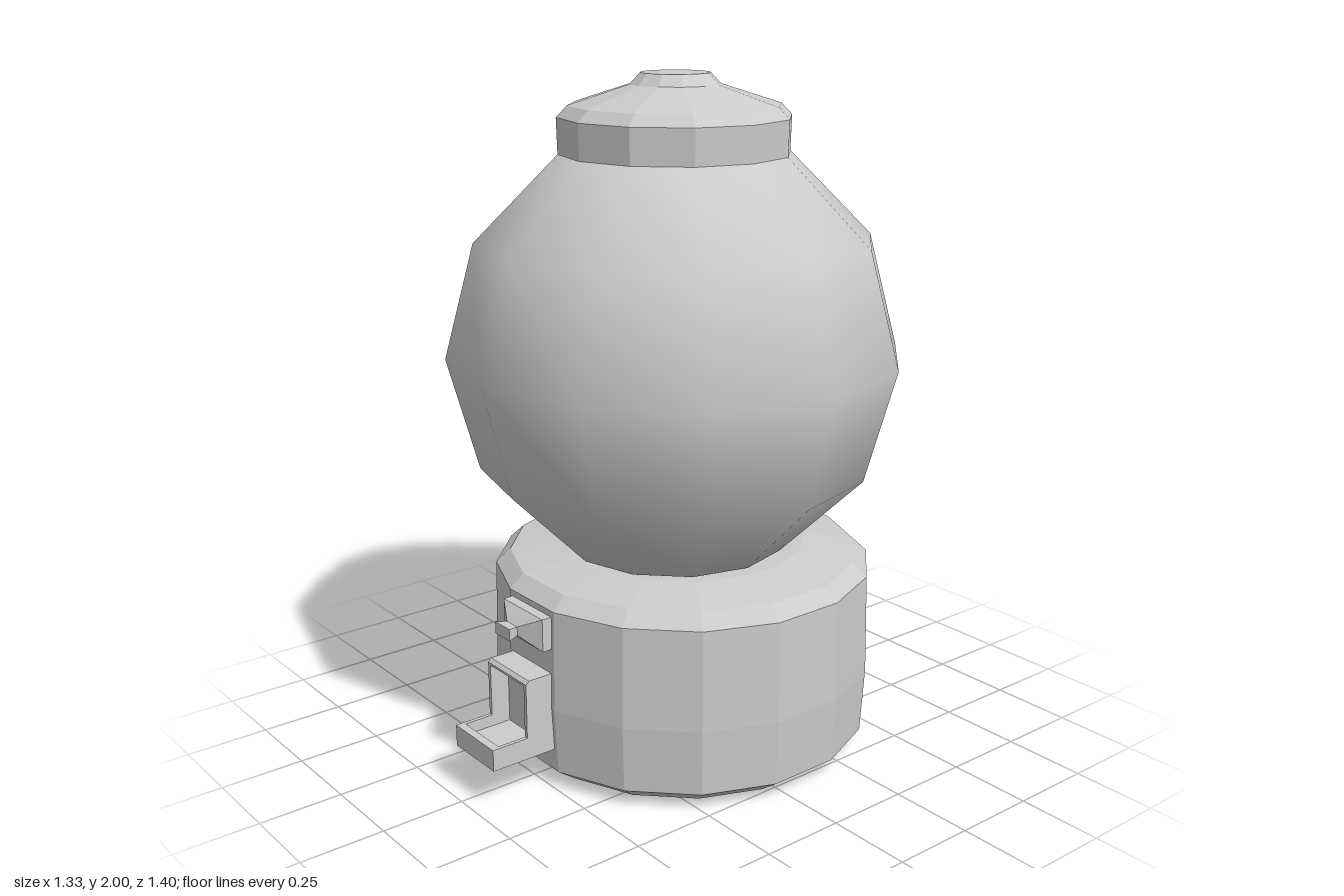
import * as THREE from 'three';

const smooth = new THREE.MeshStandardMaterial({ color: 0xcccccc });
const flat = new THREE.MeshStandardMaterial({ color: 0xcccccc, flatShading: true });

function part(name, geometry, material = flat) {
  const mesh = new THREE.Mesh(geometry, material);
  mesh.name = name;
  return mesh;
}

// Faceted solid of revolution from [radius, height] pairs, bottom to top
function turned(points, sides, start = 0) {
  return new THREE.LatheGeometry(points.map(([r, y]) => new THREE.Vector2(r, y)), sides, start);
}

// Side profile of [z, y] pairs, extruded across x and centred on x
function across(points, width, x = 0) {
  const shape = new THREE.Shape(points.map(([z, y]) => new THREE.Vector2(z, y)));
  return new THREE.ExtrudeGeometry(shape, { depth: width, bevelEnabled: false })
    .rotateY(-Math.PI / 2)
    .translate(x + width / 2, 0, 0);
}

export function createModel() {
  const model = new THREE.Group();
  model.name = 'candyMachine';

  // Drum base with chamfered rims and a slight bulge
  const corner = 1 / Math.cos(Math.PI / 16);
  const baseProfile = [
    [0, 0], [0.485, 0], [0.552, 0.05], [0.563, 0.25],
    [0.557, 0.55], [0.515, 0.59], [0.36, 0.615], [0, 0.615],
  ].map(([r, y]) => [r * corner, y]);
  const base = part('base', turned(baseProfile, 16, Math.PI / 16));
  base.position.z = -0.063;
  model.add(base);

  // Globe
  const globe = part('globe', new THREE.SphereGeometry(0.667, 12, 6), smooth);
  globe.position.set(0, 1.2, -0.03);
  model.add(globe);

  // Lid with a small raised cap
  const lid = part('lid', turned([
    [0, 1.775], [0.333, 1.775], [0.336, 1.88], [0.305, 1.912],
    [0.13, 1.968], [0.1, 2], [0, 2],
  ], 12));
  lid.position.z = -0.03;
  model.add(lid);

  // Coin knob: square plate tapering to a waist, then flaring
  const d = Math.SQRT2;
  const knobGeometry = turned([
    [0, 0.45], [0.098 * d, 0.45], [0.098 * d, 0.525],
    [0.026 * d, 0.562], [0.036 * d, 0.595], [0, 0.595],
  ], 4, Math.PI / 4).rotateX(Math.PI / 2).scale(1, 0.5, 1);
  const knob = part('coinKnob', knobGeometry);
  knob.position.y = 0.483;
  model.add(knob);

  // Dispenser chute: hollow core between two cheeks
  const chute = new THREE.Group();
  chute.name = 'chute';
  chute.add(part('chuteCore', across([
    [0.45, 0.12], [0.7, 0.12], [0.7, 0.185], [0.675, 0.185], [0.675, 0.15],
    [0.525, 0.15], [0.525, 0.3], [0.57, 0.343], [0.585, 0.343],
    [0.585, 0.35], [0.575, 0.36], [0.45, 0.36],
  ], 0.172)));
  for (const side of [-1, 1]) {
    chute.add(part('chuteCheek', across([
      [0.45, 0.12], [0.7, 0.12], [0.7, 0.185], [0.585, 0.185],
      [0.585, 0.35], [0.575, 0.36], [0.45, 0.36],
    ], 0.012, side * 0.092)));
  }
  model.add(chute);

  return model;
}
